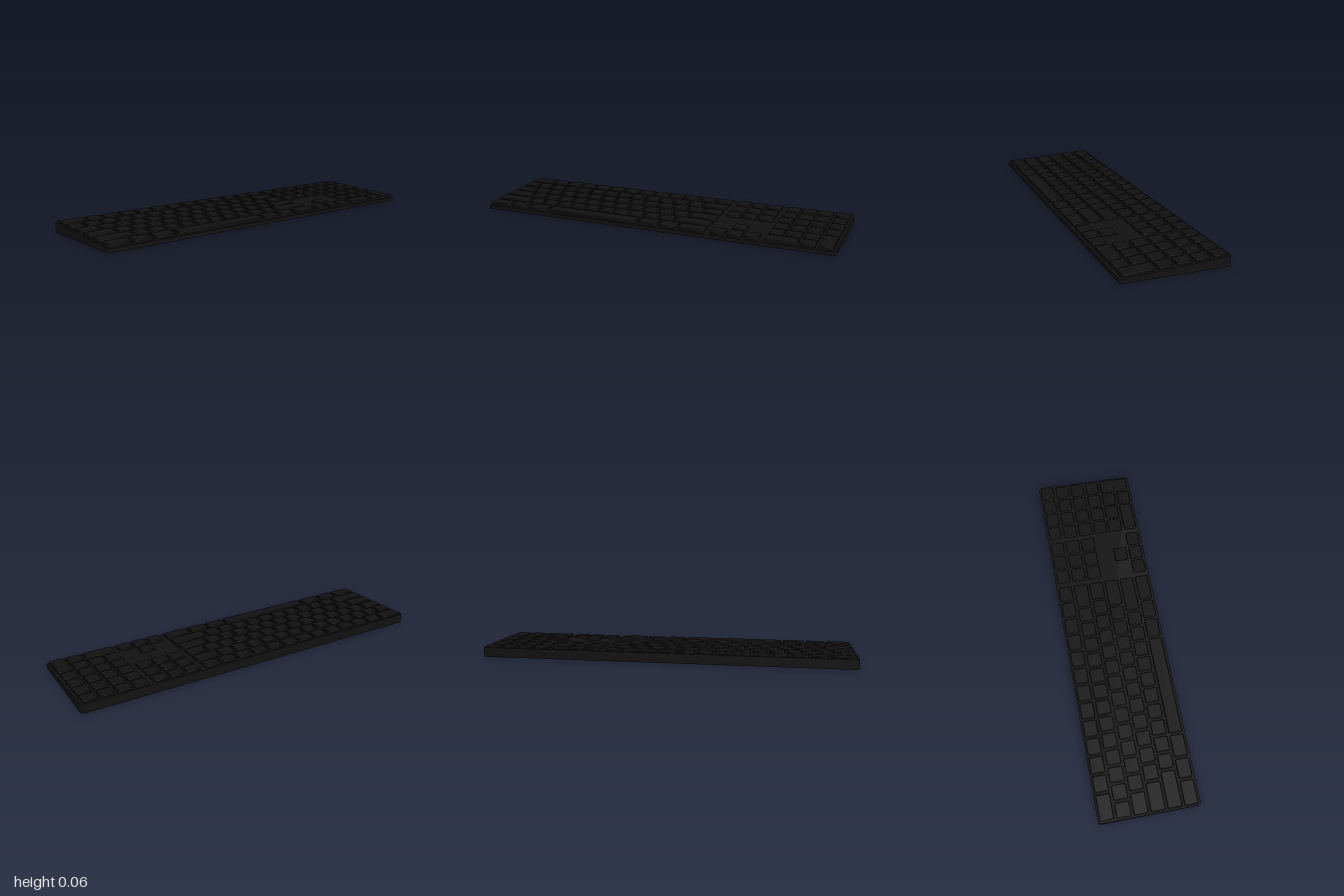
import * as THREE from 'three';
import { toCreasedNormals } from 'three/addons/utils/BufferGeometryUtils.js';

const material = new THREE.MeshStandardMaterial({ color: 0x111111 });

// Rounded slab; its upper vertices (or all of them) follow the slope along z.
function slab(x0, x1, z0, z1, { base, top, radius, bevel, slope, flatBase }) {
  const l = x0 + bevel, r = x1 - bevel, b = -z1 + bevel, t = -z0 - bevel;
  const shape = new THREE.Shape();
  shape.moveTo(l + radius, b);
  shape.lineTo(r - radius, b);
  shape.absarc(r - radius, b + radius, radius, -Math.PI / 2, 0);
  shape.absarc(r - radius, t - radius, radius, 0, Math.PI / 2);
  shape.absarc(l + radius, t - radius, radius, Math.PI / 2, Math.PI);
  shape.absarc(l + radius, b + radius, radius, Math.PI, Math.PI * 1.5);
  const geometry = new THREE.ExtrudeGeometry(shape, {
    depth: top - base - 2 * bevel, curveSegments: 4,
    bevelEnabled: bevel > 0, bevelSize: bevel, bevelThickness: bevel, bevelSegments: 1,
  });
  geometry.rotateX(-Math.PI / 2);
  geometry.translate(0, base + bevel, 0);
  const p = geometry.attributes.position;
  const middle = (base + top) / 2;
  for (let i = 0; i < p.count; i++) {
    if (!flatBase || p.getY(i) > middle) p.setY(i, p.getY(i) - slope * p.getZ(i));
  }
  return toCreasedNormals(geometry, 0.6);
}

// Starts of n equal keys followed by the end of the run.
const run = (start, pitch, n) => Array.from({ length: n + 1 }, (_, i) => start + pitch * i);

export function createModel() {
  const model = new THREE.Group();
  model.name = 'keyboard';

  // Wedge-shaped case
  const body = new THREE.Mesh(slab(-1, 1, -0.271, 0.271,
    { base: 0, top: 0.036, radius: 0.018, bevel: 0, slope: 0.059, flatBase: true }), material);
  body.name = 'case';
  model.add(body);

  const rowZ = [[-0.26, -0.187], [-0.172, -0.096], [-0.082, -0.007],
    [0.007, 0.083], [0.096, 0.171], [0.185, 0.257]];
  const gap = 0.014;
  const left = -0.99, right = 0.34;

  function addKey(parent, name, x0, x1, z0, z1) {
    const key = new THREE.Mesh(slab(x0, x1, z0, z1,
      { base: 0.0265, top: 0.0467, radius: 0.006, bevel: 0.0025, slope: 0.048 }), material);
    key.name = name;
    parent.add(key);
  }
  function addRow(parent, name, row, edges) {
    for (let i = 0; i < edges.length - 1; i++) {
      addKey(parent, name, edges[i], edges[i + 1] - gap, ...rowZ[row]);
    }
  }
  function section(name) {
    const group = new THREE.Group();
    group.name = name;
    model.add(group);
    return group;
  }

  // Main typing block
  const typing = section('typingKeys');
  addRow(typing, 'functionKey', 0, [left, ...run(-0.844, 0.0987, 12)]);
  addRow(typing, 'numberKey', 1, [...run(left, 0.0912, 13), right]);
  addRow(typing, 'upperLetterKey', 2, [left, ...run(-0.866, 0.0912, 12), right]);
  addRow(typing, 'homeLetterKey', 3, [left, ...run(-0.828, 0.0912, 11), right]);
  addRow(typing, 'lowerLetterKey', 4, [left, ...run(-0.785, 0.0912, 10), right]);
  addRow(typing, 'bottomKey', 5, [left, -0.85, -0.735, -0.605, -0.05, 0.07, 0.185, right]);

  // Navigation block and arrows
  const navigation = section('navigationKeys');
  const navEdges = run(0.357, 0.0905, 3);
  for (const row of [0, 1, 2]) addRow(navigation, 'navigationKey', row, navEdges);
  addRow(navigation, 'arrowUpKey', 4, navEdges.slice(1, 3));
  addRow(navigation, 'arrowKey', 5, navEdges);

  // Number pad with a double-width zero and a double-height enter
  const pad = section('numberPadKeys');
  const padEdges = run(0.643, 0.0893, 4);
  for (const row of [0, 1, 2, 3]) addRow(pad, 'padKey', row, padEdges);
  addRow(pad, 'padKey', 4, padEdges.slice(0, 4));
  addRow(pad, 'padBottomKey', 5, [padEdges[0], padEdges[2], padEdges[3]]);
  addKey(pad, 'padEnterKey', padEdges[3], padEdges[4] - gap, rowZ[4][0], rowZ[5][1]);

  return model;
}
